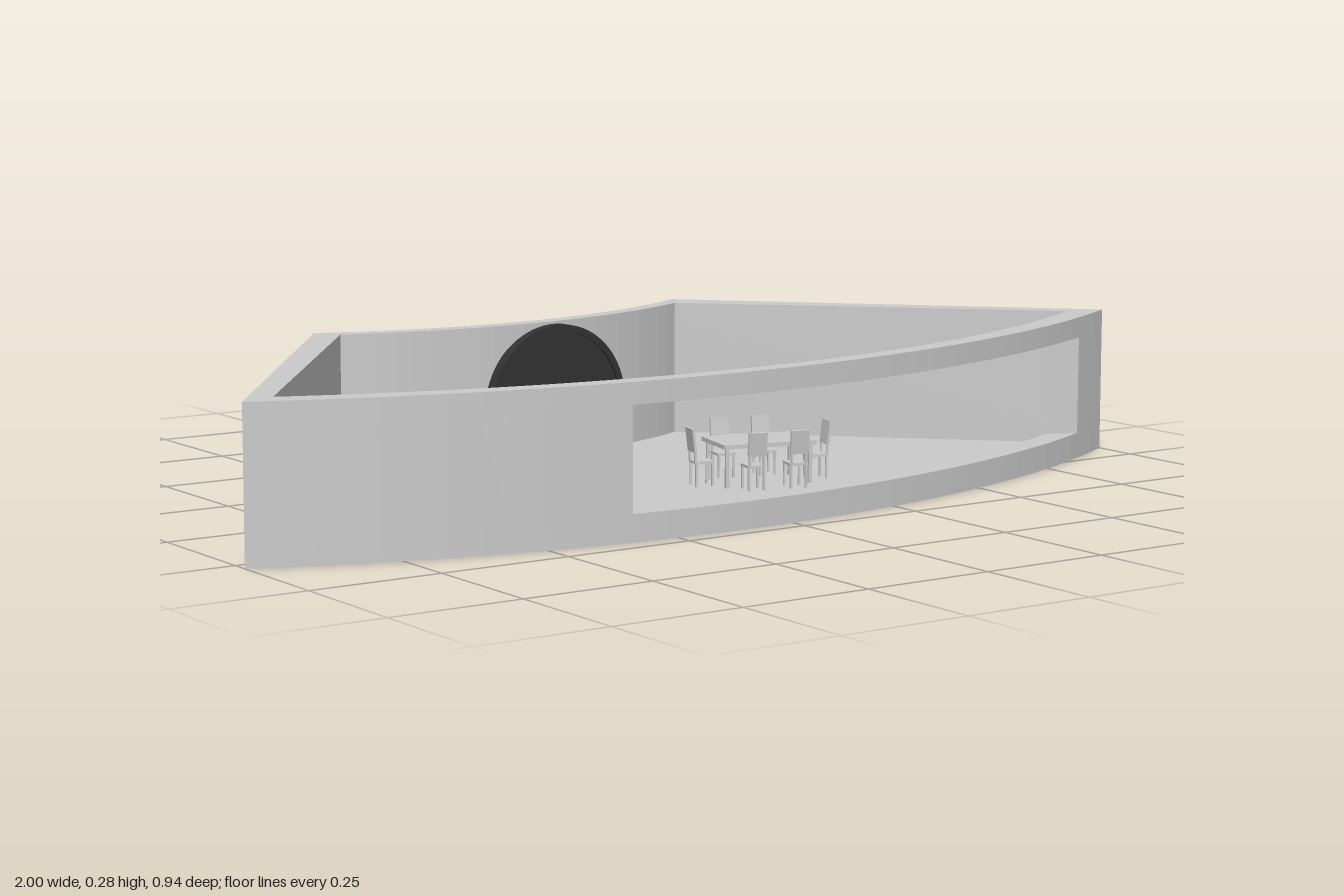
import * as THREE from 'three';

const GREY = new THREE.MeshStandardMaterial({ color: 0xcccccc, flatShading: true });
const DARK = new THREE.MeshStandardMaterial({ color: 0x333333, flatShading: true });
const FLOOR = 0.015, SILL = 0.05, HEAD = 0.24, TOP = 0.28;

function add(parent, name, geometry, x = 0, y = 0, z = 0, material = GREY) {
  const mesh = new THREE.Mesh(geometry, material);
  mesh.name = name;
  mesh.position.set(x, y, z);
  parent.add(mesh);
  return mesh;
}

const box = (parent, name, w, h, d, x, y, z, material) =>
  add(parent, name, new THREE.BoxGeometry(w, h, d), x, y, z, material);

function group(parent, name, x, z, turn = 0, y = FLOOR) {
  const g = new THREE.Group();
  g.name = name;
  g.position.set(x, y, z);
  g.rotation.y = turn;
  parent.add(g);
  return g;
}

// Plan points [x, z] along a circular arc from x0 to x1
function arc({ cx, cz, r }, x0, x1, n = 24) {
  const a0 = Math.asin((x0 - cx) / r), a1 = Math.asin((x1 - cx) / r);
  return Array.from({ length: n + 1 }, (_, i) => {
    const a = a0 + (a1 - a0) * i / n;
    return [cx + r * Math.sin(a), cz + r * Math.cos(a)];
  });
}

// Extrude a plan outline, optionally with a hole, from y0 to y1
function prism(outline, y0, y1, hole) {
  const pts = (list) => list.map(([x, z]) => new THREE.Vector2(x, -z));
  const shape = new THREE.Shape(pts(outline));
  if (hole) shape.holes.push(new THREE.Path(pts(hole)));
  const geometry = new THREE.ExtrudeGeometry(shape, { depth: y1 - y0, bevelEnabled: false });
  return geometry.rotateX(-Math.PI / 2).translate(0, y0, 0);
}

// Slab and curved walls with a wide window in the front
function buildShell(parent) {
  const frontOut = { cx: -0.12, cz: -1.70, r: 2.17 }, frontIn = { cx: -0.12, cz: -1.578, r: 2.01 };
  const backOut = { cx: -0.096, cz: -1.283, r: 0.947 }, backIn = { cx: -0.096, cz: -1.283, r: 0.98 };
  const outer = [...arc(frontOut, -1, 1, 36), ...arc(backOut, 0.39, -0.475)];
  const inner = [...arc(frontIn, -0.93, 0.925, 36), ...arc(backIn, 0.36, -0.445)];
  add(parent, 'floor', prism(outer, 0, FLOOR));
  add(parent, 'wallBelowWindow', prism(outer, FLOOR, SILL, inner));
  add(parent, 'wallAboveWindow', prism(outer, HEAD, TOP, inner));
  const around = [
    ...arc(frontOut, 0.88, 1, 4), ...arc(backOut, 0.39, -0.475), ...arc(frontOut, -1, -0.34, 12),
    ...arc(frontIn, -0.32, -0.93, 12), ...arc(backIn, -0.445, 0.36), ...arc(frontIn, 0.925, 0.82, 4),
  ];
  add(parent, 'wallBesideWindow', prism(around, SILL, HEAD));
}

// Arched dark door with raised rim, cross bar and wheel
function buildDoor(parent) {
  const door = group(parent, 'archedDoor', -0.005, -0.298, 0.047);
  const arch = (r) => {
    const s = new THREE.Shape();
    s.moveTo(-r, 0);
    s.lineTo(r, 0);
    s.lineTo(r, 0.1);
    s.absarc(0, 0.1, r, 0, Math.PI, false);
    s.lineTo(-r, 0);
    return s;
  };
  const opts = (depth) => ({ depth, bevelEnabled: false, curveSegments: 20 });
  add(door, 'doorPanel', new THREE.ExtrudeGeometry(arch(0.15), opts(0.012)), 0, 0, -0.006, DARK);
  const rim = arch(0.16);
  rim.holes.push(arch(0.147));
  add(door, 'doorRim', new THREE.ExtrudeGeometry(rim, opts(0.022)), 0, 0, -0.011, DARK);
  add(door, 'doorWheel', new THREE.TorusGeometry(0.018, 0.002, 6, 20), 0, 0.105, 0.008, DARK);
  for (const s of [-1, 1]) box(door, 'doorBar', 0.075, 0.004, 0.005, s * 0.058, 0.105, 0.007, DARK);
}

// L-shaped kitchen counter with sink, hob and fridge
function buildKitchen(parent) {
  const plan = [[-0.755, 0.035], [-0.925, 0.262], [-0.63, 0.36], [-0.617, 0.312], [-0.82, 0.228], [-0.715, 0.075]];
  add(parent, 'kitchenCounter', prism(plan, FLOOR, 0.1));

  const sink = group(parent, 'sink', -0.828, 0.145, 0.93, 0.1);
  box(sink, 'basin', 0.075, 0.004, 0.04, 0, 0.002, 0);
  for (const u of [-0.04, 0, 0.04]) {
    add(sink, 'tapPost', new THREE.CylinderGeometry(0.002, 0.002, 0.055, 8), u, 0.0275, -0.022);
    box(sink, 'tapSpout', 0.004, 0.004, 0.022, u, 0.055, -0.013);
  }

  const hob = group(parent, 'hob', -0.74, 0.295, -0.33, 0.1);
  box(hob, 'hobPlate', 0.055, 0.006, 0.045, 0, 0.003, 0);

  const fridge = group(parent, 'fridge', -0.6, 0.342, -0.28);
  box(fridge, 'fridgeBody', 0.062, 0.155, 0.05, 0, 0.0775, 0.005);
  box(fridge, 'fridgeDoor', 0.062, 0.15, 0.008, 0, 0.0795, -0.025);
  box(fridge, 'fridgeHandle', 0.004, 0.06, 0.004, 0.022, 0.09, -0.031);
}

// Bar counter and a row of stools
function buildBar(parent) {
  const bar = group(parent, 'bar', -0.337, 0.277, -0.05);
  box(bar, 'barTop', 0.052, 0.016, 0.27, 0, 0.077, 0);
  box(bar, 'barEndSupport', 0.045, 0.07, 0.055, 0, 0.035, 0.1);
  box(bar, 'barPanel', 0.012, 0.07, 0.25, -0.016, 0.035, 0);
  for (const z of [0.187, 0.253, 0.322]) {
    const stool = group(parent, 'stool', -0.295, z);
    add(stool, 'stoolSeat', new THREE.CylinderGeometry(0.02, 0.02, 0.008, 16), 0, 0.06, 0);
    add(stool, 'stoolPost', new THREE.CylinderGeometry(0.003, 0.003, 0.056, 8), 0, 0.028, 0);
    add(stool, 'stoolFoot', new THREE.CylinderGeometry(0.013, 0.015, 0.004, 16), 0, 0.002, 0);
  }
}

function legs(parent, name, x, z, height, size) {
  for (const sx of [-1, 1]) for (const sz of [-1, 1])
    box(parent, name, size, height, size, sx * x, height / 2, sz * z);
}

// Dining table with six chairs facing it
function buildDining(parent) {
  const set = group(parent, 'diningSet', 0.152, 0.156, -0.245);
  box(set, 'tableTop', 0.185, 0.008, 0.115, 0, 0.078, 0);
  legs(set, 'tableLeg', 0.083, 0.048, 0.075, 0.007);
  const places = [[-0.115, 0, Math.PI / 2], [0.115, 0, -Math.PI / 2]];
  for (const u of [-0.042, 0.042]) places.push([u, -0.075, 0], [u, 0.075, Math.PI]);
  for (const [u, v, turn] of places) {
    const chair = group(set, 'chair', u, v, turn, 0);
    box(chair, 'chairSeat', 0.036, 0.005, 0.038, 0, 0.045, 0);
    legs(chair, 'chairLeg', 0.015, 0.016, 0.044, 0.004);
    const back = box(chair, 'chairBack', 0.036, 0.045, 0.005, 0, 0.087, -0.021);
    back.rotation.x = -0.12;
    for (const s of [-1, 1]) box(chair, 'chairBackPost', 0.004, 0.03, 0.004, s * 0.014, 0.058, -0.018);
  }
}

export function createModel() {
  const model = new THREE.Group();
  model.name = 'curvedRoom';
  buildShell(model);
  buildDoor(model);
  buildKitchen(model);
  buildBar(model);
  buildDining(model);
  return model;
}
